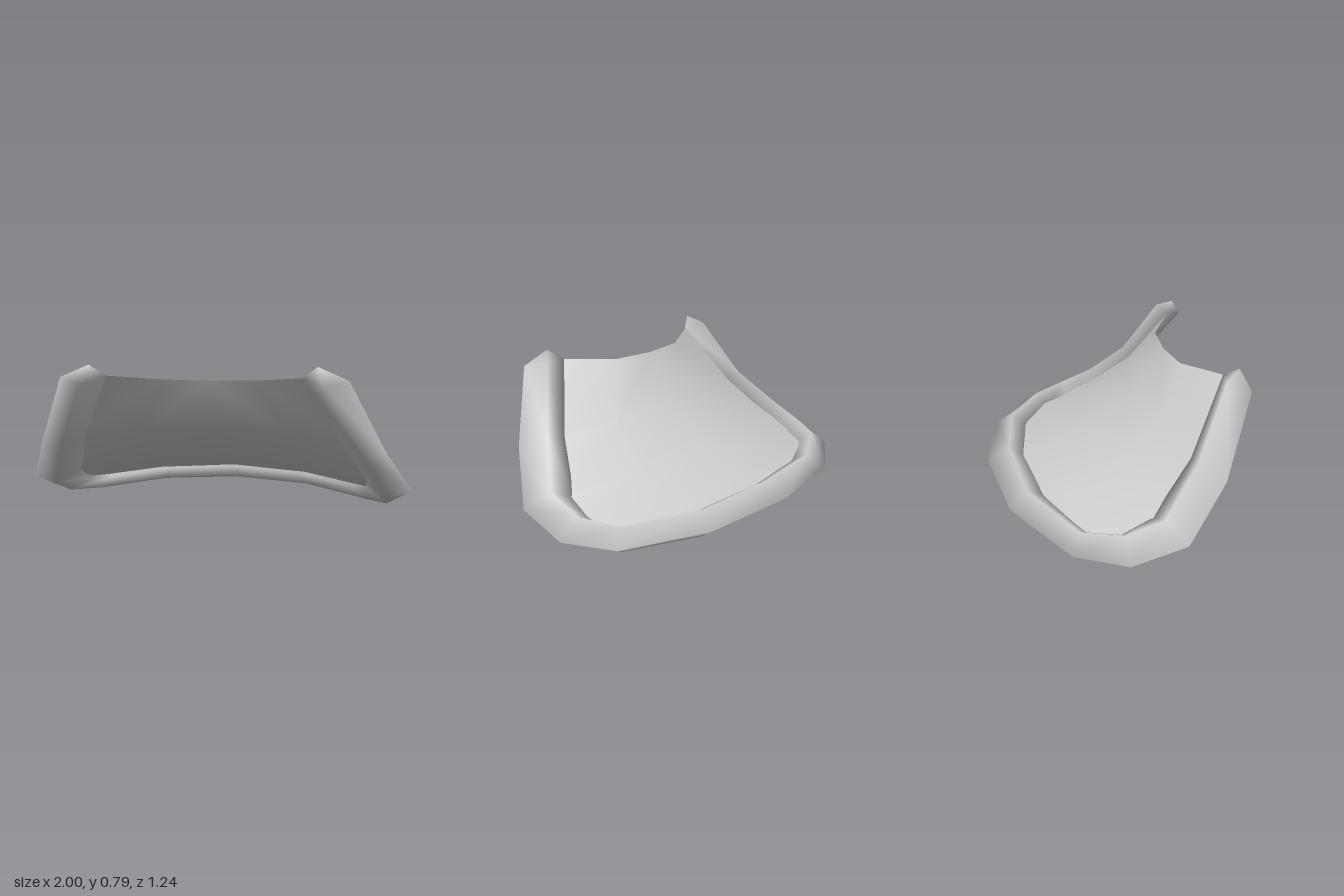
import * as THREE from 'three';

const grey = new THREE.MeshStandardMaterial({ color: 0xcccccc, side: THREE.DoubleSide });
grey.name = 'plain grey';

// Half of the rim, from the back centre to the front tip on the left side.
// Each station is a diamond: outer, top, inner, bottom corners.
const stations = [
  [[0, 0.125, -0.62], [0, 0.19, -0.5], [0, 0.125, -0.41], [0, 0.045, -0.51]],
  [[0.48, 0.11, -0.545], [0.43, 0.175, -0.45], [0.39, 0.11, -0.355], [0.44, 0.03, -0.45]],
  [[0.86, 0.075, -0.3], [0.78, 0.145, -0.25], [0.7, 0.08, -0.195], [0.78, 0.005, -0.23]],
  [[0.99, 0.08, -0.06], [0.88, 0.17, -0.06], [0.78, 0.105, -0.06], [0.89, 0.035, -0.02]],
  [[1.0, 0.16, 0.2], [0.89, 0.235, 0.12], [0.78, 0.18, 0.09], [0.89, 0.12, 0.2]],
  [[0.86, 0.38, 0.41], [0.75, 0.43, 0.31], [0.65, 0.4, 0.31], [0.76, 0.35, 0.42]],
  [[0.68, 0.73, 0.57], [0.6, 0.75, 0.48], [0.47, 0.735, 0.51], [0.57, 0.7, 0.615]],
];
const tip = [0.54, 0.79, 0.56];

// Half rows of the sheet, front to back: centre, middle, edge.
const rows = [
  [[0, 0.705, 0.35], [0.23, 0.71, 0.37], [0.47, 0.735, 0.51]],
  [[0, 0.45, 0.18], [0.37, 0.44, 0.22], [0.74, 0.39, 0.36]],
  [[0, 0.265, -0.07], [0.44, 0.25, -0.03], [0.88, 0.18, 0.14]],
  [[0, 0.155, -0.34], [0.43, 0.14, -0.27], [0.87, 0.1, -0.04]],
  [[0, 0.12, -0.51], [0.43, 0.1, -0.45], [0.78, 0.075, -0.25]],
];

const mirror = ([x, y, z]) => [-x, y, z];

function makeMesh(name, points, faces) {
  const geometry = new THREE.BufferGeometry();
  geometry.setAttribute('position', new THREE.Float32BufferAttribute(points.flat(), 3));
  geometry.setIndex(faces);
  geometry.computeVertexNormals();
  const mesh = new THREE.Mesh(geometry, grey);
  mesh.name = name;
  return mesh;
}

// Padded rim running round both sides and the back, closed by pointed ends
function makeRim() {
  const rings = [...stations.slice(1).reverse().map((s) => s.map(mirror)), ...stations];
  const points = [...rings.flat(), mirror(tip), tip];
  const last = (rings.length - 1) * 4;
  const startTip = rings.length * 4;
  const faces = [];
  for (let j = 0; j < 4; j++) {
    const k = (j + 1) % 4;
    for (let i = 0; i < last; i += 4) {
      faces.push(i + j, i + k, i + 4 + j, i + k, i + 4 + k, i + 4 + j);
    }
    faces.push(k, j, startTip, last + j, last + k, startTip + 1);
  }
  return makeMesh('rim', points, faces);
}

// Thin curved sheet stretched inside the rim
function makeSheet() {
  const points = rows.flatMap(([c, m, e]) => [mirror(e), mirror(m), c, m, e]);
  const faces = [];
  for (let r = 0; r < 4; r++) {
    for (let c = 0; c < 4; c++) {
      const a = r * 5 + c;
      if (c < 2) faces.push(a, a + 1, a + 5, a + 1, a + 6, a + 5);
      else faces.push(a, a + 1, a + 6, a, a + 6, a + 5);
    }
  }
  return makeMesh('sheet', points, faces);
}

export function createModel() {
  const model = new THREE.Group();
  model.name = 'curvedPanel';
  model.add(makeSheet(), makeRim());
  return model;
}
